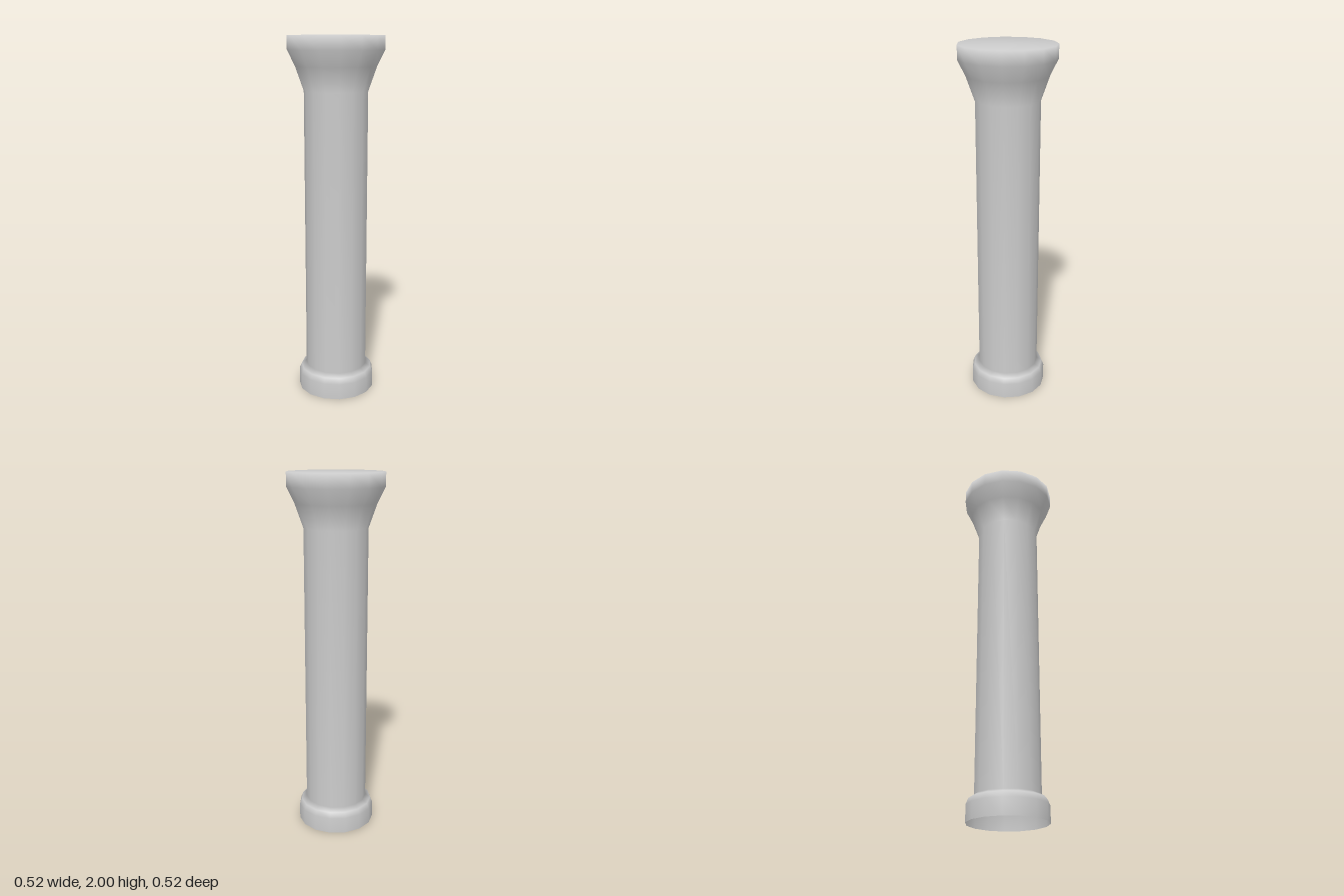
import * as THREE from 'three';

const SIDES = 15;

export function createModel() {
  const group = new THREE.Group();
  group.name = 'column';

  // Profile (radius, height), from the open bottom rim to the closed top
  const profile = [
    [0.216, 0], [0.216, 0.09], [0.203, 0.122], [0.174, 0.14], // base collar
    [0.174, 1.71],                                            // straight shaft
    [0.22, 1.84], [0.2615, 1.925], [0.2615, 2],               // flared head
    [0, 2],                                                   // flat top, softly shaded
  ].map(([r, y]) => new THREE.Vector2(r, y));

  // Start at the back so one corner of the polygon points to -z
  const geometry = new THREE.LatheGeometry(profile, SIDES, Math.PI);
  geometry.translate(0, 0, 0.002);

  // Open and hollow underneath, so both sides show
  const material = new THREE.MeshStandardMaterial({ color: 0xcccccc, side: THREE.DoubleSide });
  const body = new THREE.Mesh(geometry, material);
  body.name = 'columnBody';
  group.add(body);

  return group;
}
